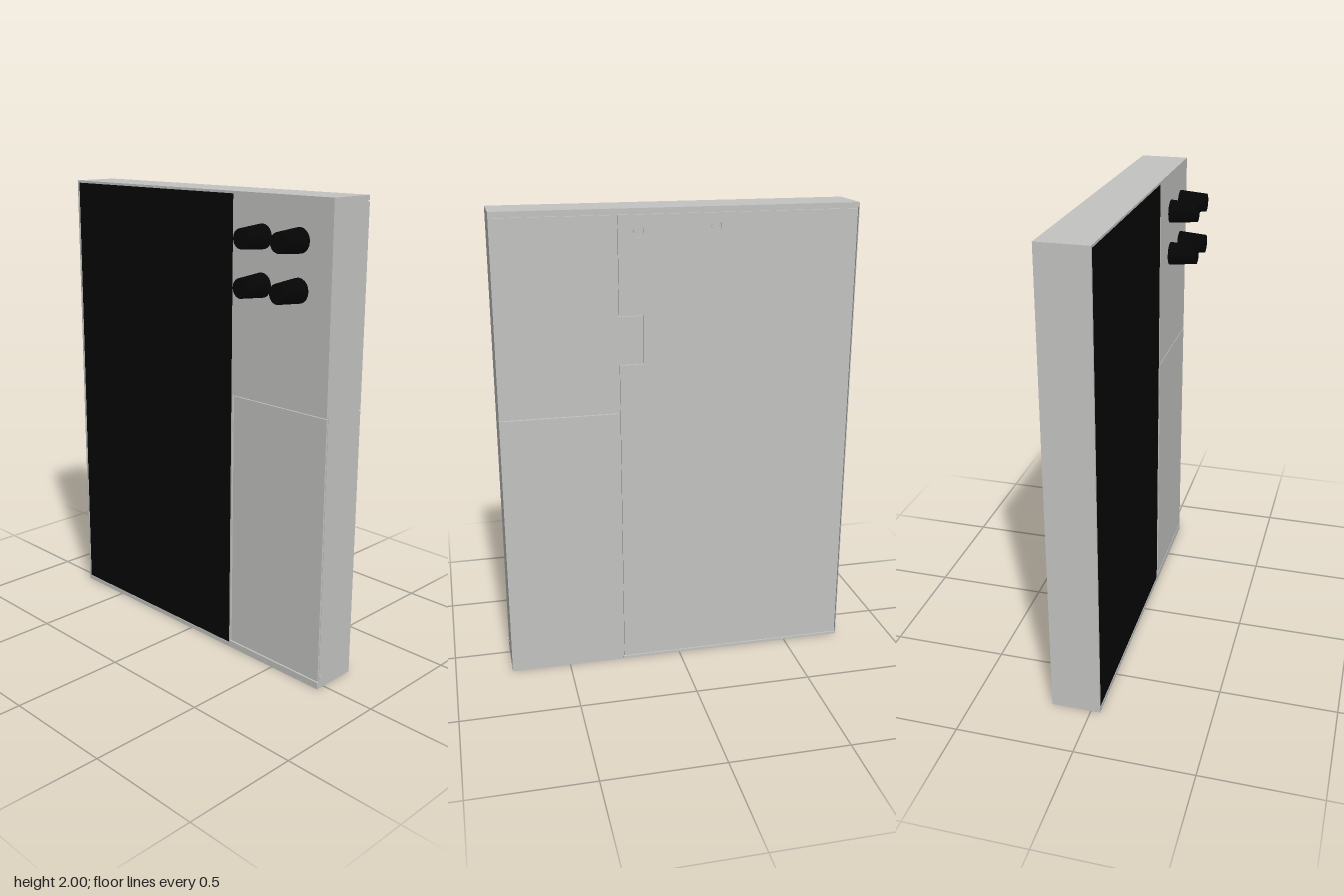
import * as THREE from 'three';

const W = 0.755, H = 2, FRONT = 0.04, BACK = -0.17, SKIN = 0.01;

export function createModel() {
  const group = new THREE.Group();
  const casing = new THREE.MeshStandardMaterial({ color: 0xc3c3c1 });
  casing.name = 'casing grey';
  const black = new THREE.MeshStandardMaterial({ color: 0x050505 });
  black.name = 'panel black';

  const add = (name, geometry, material, x = 0, y = 0, z = 0) => {
    const mesh = new THREE.Mesh(geometry, material);
    mesh.name = name;
    mesh.position.set(x, y, z);
    group.add(mesh);
    return mesh;
  };
  const outline = (points) => new THREE.Shape(points.map(([x, y]) => new THREE.Vector2(x, y)));
  const rect = (x0, y0, x1, y1) => [[x0, y0], [x1, y0], [x1, y1], [x0, y1]];
  // Flat plate cut from an outline, with optional holes
  const plate = (name, points, z, depth, holes = []) => {
    const shape = outline(points);
    shape.holes.push(...holes);
    return add(name, new THREE.ExtrudeGeometry(shape, { depth, bevelEnabled: false }), casing, 0, 0, z);
  };

  // Main slab between the front and back skins
  add('casingCore', new THREE.BoxGeometry(2 * W, H, FRONT - BACK - 2 * SKIN), casing,
    0, H / 2, (FRONT + BACK) / 2);

  // Front frame: opening for the black panel, notch for the lower door
  const opening = outline(rect(-0.745, 0.02, 0.245, 1.99));
  plate('frontFrame', [[-W, 0], [W, 0], [W, 0.03], [0.252, 0.03], [0.252, 1.168],
    [W, 1.168], [W, H], [-W, H]], FRONT - SKIN, SKIN, [opening]);
  plate('frontDoor', rect(0.26, 0.036, W, 1.164), FRONT - 0.008, 0.008);
  add('blackPanel', new THREE.BoxGeometry(0.99, 1.97, 0.008), black, -0.25, 1.005, FRONT - 0.006);

  // Four tapered control knobs
  for (const x of [0.41, 0.6]) {
    for (const y of [1.645, 1.835]) {
      const knob = add('knob', new THREE.CylinderGeometry(0.04, 0.05, 0.122, 20), black, x, y, 0.107);
      knob.rotation.x = Math.PI / 2;
    }
  }

  // Back skin: wide panel with two screw holes, and two narrow doors
  const screws = [[0.175, 1.91], [-0.145, 1.92]];
  const holes = screws.map(([x, y]) => new THREE.Path().absarc(x, y, 0.026, 0, Math.PI * 2, true));
  plate('backPanel', [[-0.748, 0.015], [0.253, 0.015], [0.253, 1.367], [0.152, 1.367],
    [0.152, 1.573], [0.253, 1.573], [0.253, 1.975], [-0.748, 1.975]], BACK, SKIN, holes);
  plate('upperBackDoor', [[0.263, 1.164], [W, 1.164], [W, 1.975], [0.263, 1.975],
    [0.263, 1.57], [0.155, 1.57], [0.155, 1.37], [0.263, 1.37]], BACK, SKIN);
  plate('lowerBackDoor', rect(0.26, 0, W, 1.16), BACK, SKIN);
  plate('backTopLip', rect(-W, 1.981, W, H), BACK, SKIN);
  plate('backBottomLip', rect(-W, 0, 0.257, 0.011), BACK, SKIN);
  plate('backSideLip', rect(-W, 0.011, -0.752, 1.981), BACK, SKIN);

  // Screw heads set inside the holes
  for (const [x, y] of screws) {
    const screw = add('backScrew', new THREE.CylinderGeometry(0.015, 0.015, 0.006, 20), casing,
      x, y, BACK + 0.008);
    screw.rotation.x = Math.PI / 2;
  }

  // Small hinge pin near the lower front corner
  const pin = add('hingePin', new THREE.CylinderGeometry(0.01, 0.01, 0.004, 16), casing, W, 0.05, 0.018);
  pin.rotation.z = Math.PI / 2;

  return group;
}
